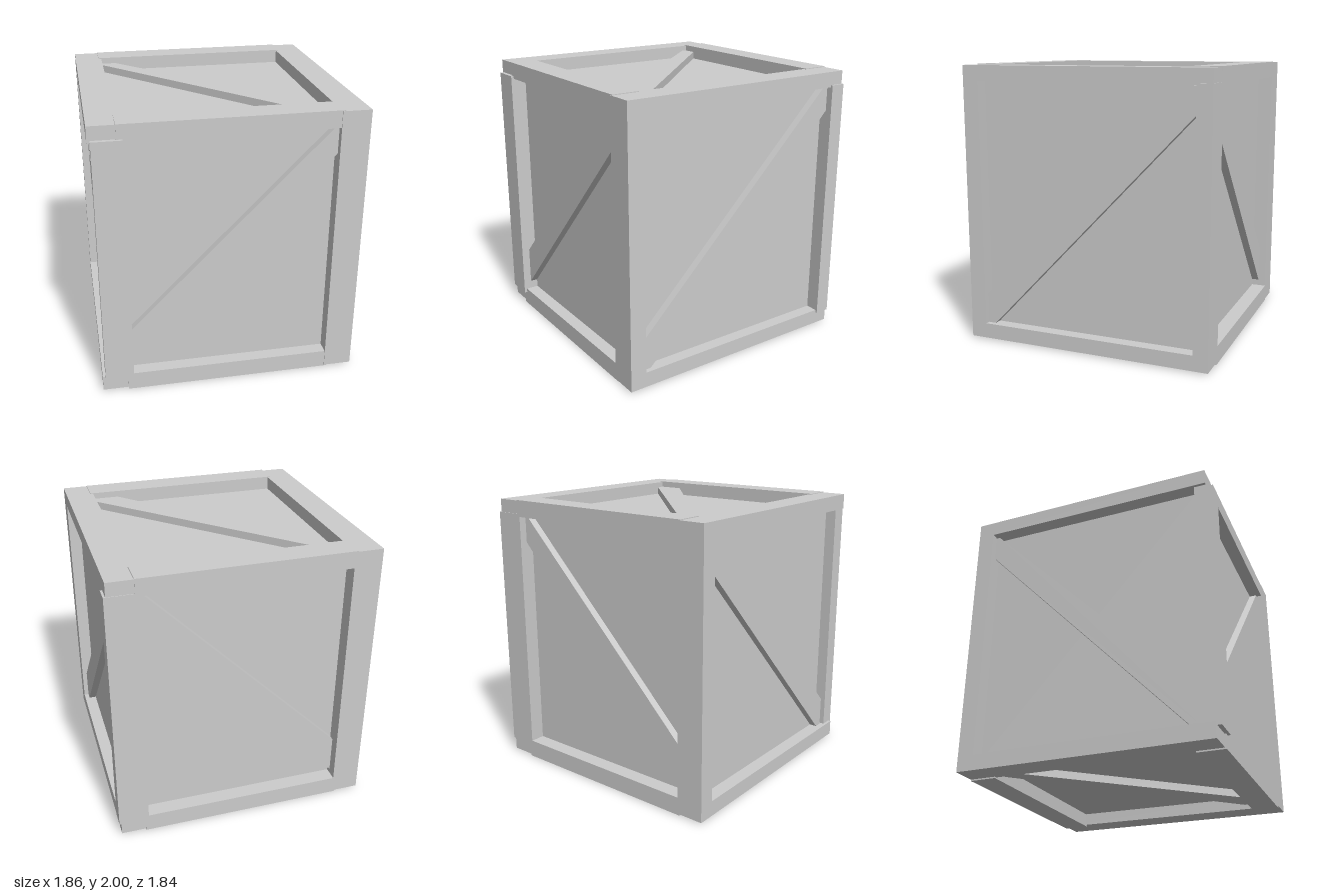
import * as THREE from 'three';

const material = new THREE.MeshStandardMaterial({ color: 0xcccccc, flatShading: true });

// Box given by its minimum and maximum on each axis
function plank(name, [x0, x1], [y0, y1], [z0, z1]) {
  const mesh = new THREE.Mesh(new THREE.BoxGeometry(x1 - x0, y1 - y0, z1 - z0), material);
  mesh.name = name;
  mesh.position.set((x0 + x1) / 2, (y0 + y1) / 2, (z0 + z1) / 2);
  return mesh;
}

// Diagonal board with its ends cut to fit the frame opening, centred in depth
function braceGeometry(points, depth = 0.06) {
  const shape = new THREE.Shape(points.map(([u, v]) => new THREE.Vector2(u, v)));
  return new THREE.ExtrudeGeometry(shape, { depth, bevelEnabled: false }).translate(0, 0, -depth / 2);
}

export function createModel() {
  const crate = new THREE.Group();
  crate.name = 'crate';

  // Recessed panels, as one closed inner box
  crate.add(plank('innerPanels', [-0.83, 0.82], [0.1, 1.9], [-0.81, 0.8]));

  // Corner posts: two run the full height, two stop short
  crate.add(
    plank('frontLeftPost', [0.71, 0.91], [0.01, 1.995], [0.78, 0.9]),
    plank('backRightPost', [-0.93, -0.73], [0.01, 1.995], [-0.92, -0.8]),
    plank('frontRightPost', [-0.91, -0.71], [0.1, 1.9], [0.8, 0.915]),
    plank('backLeftPost', [0.71, 0.925], [0.1, 1.9], [-0.92, -0.81]),
  );

  // Top and bottom frames
  const levels = [
    { end: 'top', cross: [1.88, 2], side: [1.885, 1.995] },
    { end: 'bottom', cross: [0, 0.13], side: [0.01, 0.12] },
  ];
  for (const { end, cross, side } of levels) {
    crate.add(
      plank(end + 'FrontRail', [-0.75, 0.73], cross, [0.7, 0.895]),
      plank(end + 'BackRail', [-0.75, 0.73], cross, [-0.92, -0.73]),
      plank(end + 'LeftRail', [0.71, 0.91], side, [-0.915, 0.885]),
      plank(end + 'RightRail', [-0.93, -0.73], side, [-0.915, 0.885]),
    );
  }

  // Diagonal braces, one on each of the six faces
  const frontBack = braceGeometry([
    [-0.72, 0.18], [0.72, 1.7], [0.72, 1.89], [0.7, 1.89], [-0.72, 0.46],
  ]);
  const sides = braceGeometry([
    [0.78, 0.34], [0.78, 0.12], [0.72, 0.12], [-0.81, 1.71], [-0.81, 1.88], [-0.77, 1.88],
  ]).rotateY(-Math.PI / 2);
  const topBottom = braceGeometry([
    [-0.73, -0.73], [-0.62, -0.73], [0.71, 0.64], [0.71, 0.7], [0.52, 0.7], [-0.73, -0.69],
  ]).rotateX(Math.PI / 2);

  const braces = [
    ['frontBrace', frontBack, [0, 0, 0.825]],
    ['backBrace', frontBack, [0, 0, -0.835]],
    ['leftBrace', sides, [0.845, 0, 0]],
    ['rightBrace', sides, [-0.855, 0, 0]],
    ['topBrace', topBottom, [0, 1.925, 0]],
    ['bottomBrace', topBottom, [0, 0.075, 0]],
  ];
  for (const [name, geometry, position] of braces) {
    const mesh = new THREE.Mesh(geometry, material);
    mesh.name = name;
    mesh.position.set(...position);
    crate.add(mesh);
  }
  return crate;
}
